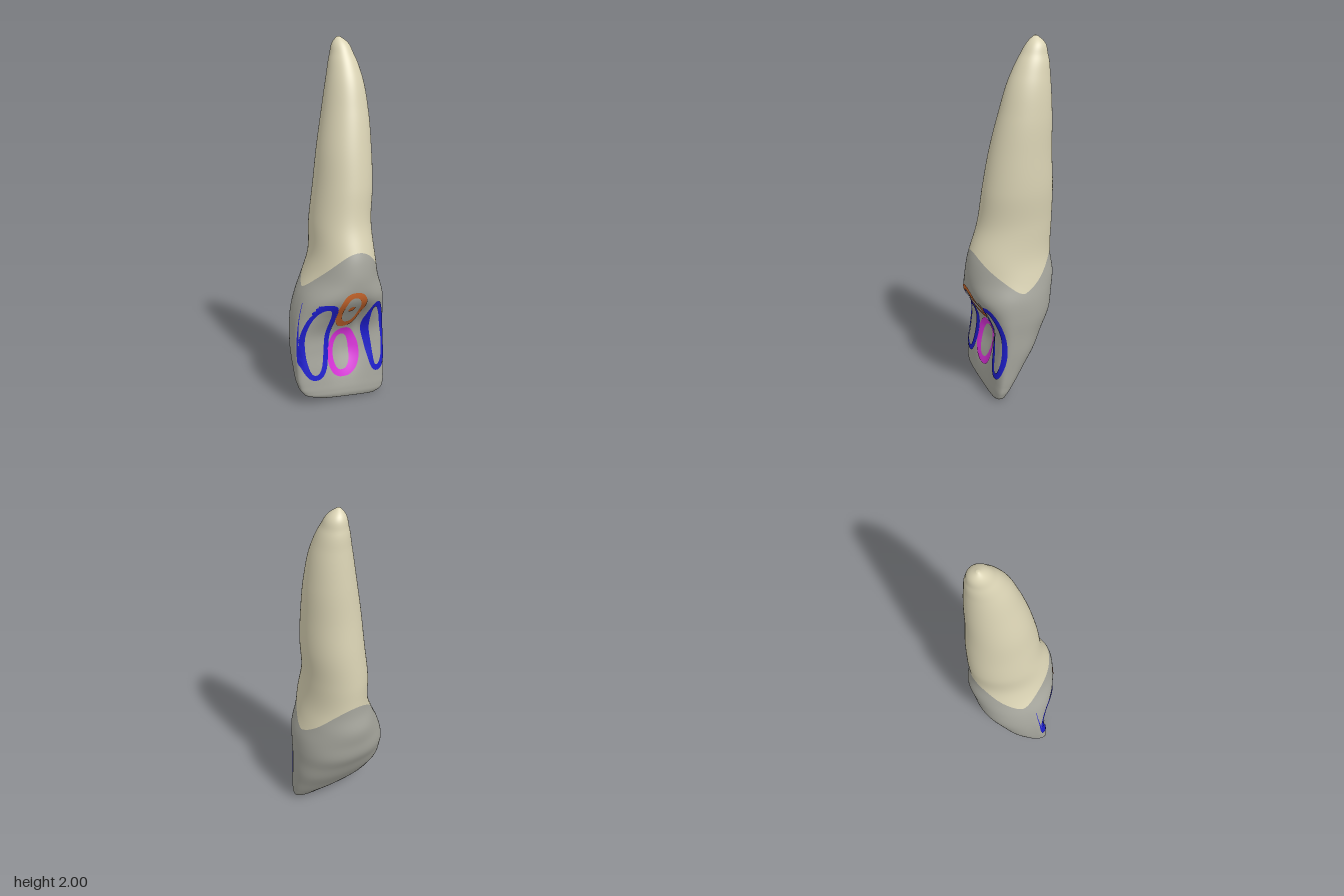
import * as THREE from 'three';

// Tooth axes: u runs along the biting edge, v points to the tongue side
const C = Math.cos(0.488), S = Math.sin(0.488);

// Crown sections: y, centre u, half width, widest v, depth to lip, depth to tongue, squareness
const CROWN = [
  [0, .03, .17, .118, .03, .02, 3],
  [.02, .015, .225, .112, .05, .032, 3.4],
  [.05, .008, .25, .105, .07, .04, 3.6],
  [.1, .003, .263, .09, .1, .052, 3.8],
  [.2, .003, .27, .06, .14, .075, 4],
  [.3, .006, .273, .03, .175, .095, 4],
  [.4, .01, .27, .02, .215, .105, 3.7],
  [.5, .02, .262, 0, .245, .165, 3],
  [.6, .032, .243, -.01, .25, .232, 2.4],
];

// Root sections are plain ellipses: y, centre u, half width, centre v, half depth
const ROOT = [
  [.7, .044, .208, -.018, .254],
  [.8, .052, .181, -.014, .241],
  [1, .058, .167, -.044, .212],
  [1.2, .079, .161, -.053, .197],
  [1.4, .091, .149, -.062, .173],
  [1.6, .106, .128, -.081, .146],
  [1.8, .112, .095, -.105, .108],
  [1.9, .109, .068, -.126, .077],
  [1.985, .1, .027, -.141, .028],
  [2, .095, .008, -.141, .008],
];
const LEVELS = [...CROWN, ...ROOT.map((r) => [...r, r[4], 2])];

function slope(i, k) {
  const d = (j) => (LEVELS[j + 1][k] - LEVELS[j][k]) / (LEVELS[j + 1][0] - LEVELS[j][0]);
  if (i === 0) return d(0);
  if (i === LEVELS.length - 1) return d(i - 1);
  const h0 = LEVELS[i][0] - LEVELS[i - 1][0], h1 = LEVELS[i + 1][0] - LEVELS[i][0];
  return (d(i - 1) * h1 + d(i) * h0) / (h0 + h1);
}

// Smoothly interpolated cross-section at height y
function section(y) {
  let i = 0;
  while (i < LEVELS.length - 2 && y > LEVELS[i + 1][0]) i++;
  const A = LEVELS[i], B = LEVELS[i + 1], h = B[0] - A[0];
  const t = THREE.MathUtils.clamp((y - A[0]) / h, 0, 1), t2 = t * t, t3 = t2 * t;
  const [u0, a, v0, lab, ling, n] = A.slice(1).map((from, m) =>
    (2 * t3 - 3 * t2 + 1) * from + (t3 - 2 * t2 + t) * h * slope(i, m + 1) +
    (3 * t2 - 2 * t3) * B[m + 1] + (t3 - t2) * h * slope(i + 1, m + 1));
  return { u0, a, v0, lab, ling, n };
}

// Hollow on the tongue side, between the marginal ridges, with a groove beside the bulge
const hollow = (u, y) =>
  0.05 * Math.exp(-(((u - 0.02) / 0.1) ** 2) - ((y - 0.31) / 0.15) ** 2) +
  0.022 * Math.exp(-(((u - 0.1) / 0.035) ** 2) - ((y - 0.46) / 0.1) ** 2);

// Tooth axes to model axes, with the biting edge tilted slightly
function place(u, y, v) {
  const lift = 0.08 * (0.2 - u) * Math.max(0, 1 - y / 0.25) ** 2;
  return [u * C - v * S, y + lift, u * S + v * C];
}

function surface(theta, y, scale) {
  const s = section(y), c = Math.cos(theta), q = Math.sin(theta);
  const n = q > 0 ? s.n : 2 + (s.n - 2) * 0.2;
  const u = s.u0 + scale * s.a * Math.sign(c) * Math.abs(c) ** (2 / n);
  const v = s.v0 + scale * (q > 0 ? s.ling : -s.lab) * Math.abs(q) ** (2 / n);
  return place(u, y, q > 0 ? v - hollow(u, y) * scale : v);
}

// Scalloped neck line: high on lip and tongue sides, dipping between the teeth
const neck = (theta) => 0.65 + 0.215 * Math.abs(Math.sin(theta)) ** 1.35;

function makeGeometry(pos, idx) {
  const g = new THREE.BufferGeometry();
  g.setAttribute('position', new THREE.Float32BufferAttribute(pos, 3));
  g.setIndex(idx);
  g.computeVertexNormals();
  return g;
}

// Stacked rings; the ring numbered capRow shrinks to a point
const ROWS = 70;
function loft(heightAt, capRow) {
  const N = 144, pos = [], idx = [];
  for (let j = 0; j <= ROWS; j++) {
    for (let i = 0; i < N; i++) {
      const th = (i / N) * Math.PI * 2;
      pos.push(...surface(th, heightAt(th, j), j === capRow ? 0 : 1));
      if (j === ROWS) continue;
      const a = j * N + i, b = j * N + ((i + 1) % N);
      idx.push(a, a + N, b, b, a + N, b + N);
    }
  }
  return makeGeometry(pos, idx);
}

// Point on the tongue side seen at (x, y) from the front, raised slightly
function onTongueSide(x, y) {
  const s = section(y);
  let u = x, v = 0;
  for (let k = 0; k < 40; k++) {
    u += 0.5 * (x - (u * C - v * S));
    const w = THREE.MathUtils.clamp((u - s.u0) / s.a, -0.985, 0.985);
    u = s.u0 + w * s.a;
    v = s.v0 + s.ling * (1 - Math.abs(w) ** s.n) ** (1 / s.n) - hollow(u, y);
  }
  const p = place(u, y, v);
  return [p[0] - S * 0.005, p[1], p[2] + C * 0.005];
}

// Painted closed band: an oval that can lean and bow sideways
function band({ x, y, rx, ry, lean = 0, bow = 0, width }) {
  const N = 96, W = 4, pos = [], idx = [];
  for (let i = 0; i < N; i++) {
    const th = (i / N) * Math.PI * 2, t = Math.sin(th);
    for (let k = 0; k <= W; k++) {
      const o = (k / W - 0.5) * width;
      pos.push(...onTongueSide(
        x + (rx + o) * Math.sign(Math.cos(th)) * Math.abs(Math.cos(th)) ** 0.85 + lean * t + bow * t * t,
        y + (ry + o) * t));
      if (k === W) continue;
      const a = i * (W + 1) + k, b = ((i + 1) % N) * (W + 1) + k;
      idx.push(a, b, a + 1, b, b + 1, a + 1);
    }
  }
  return makeGeometry(pos, idx);
}

function paint(name, hex) {
  const m = new THREE.MeshStandardMaterial({ color: hex, side: THREE.DoubleSide });
  m.name = name;
  return m;
}

export function createModel() {
  const group = new THREE.Group();
  group.name = 'tooth';
  const enamel = paint('enamel grey', 0xa6a69d);
  const cementum = paint('root ivory', 0xdbd4b5);
  const blue = paint('ridge blue', 0x1f1fd0);
  const magenta = paint('fossa magenta', 0xdc32dc);
  const orange = paint('cingulum orange', 0xcf6a2e);
  const add = (name, geometry, material) => {
    const mesh = new THREE.Mesh(geometry, material);
    mesh.name = name;
    group.add(mesh);
  };

  // Crown and root share one surface, split at the neck line; rings crowd towards the ends
  const ease = (j) => (Math.max(0, j - 1) / (ROWS - 1)) ** 1.5;
  add('crown', loft((th, j) => neck(th) * ease(j), 0), enamel);
  add('root', loft((th, j) => 2 - (2 - neck(th)) * ease(ROWS - j), ROWS), cementum);

  // Painted outlines on the tongue side
  add('rightRidgeOutline', band({ x: -.2, y: .362, rx: .063, ry: .21, lean: .013, width: .032 }), blue);
  add('leftRidgeOutline',
    band({ x: .131, y: .352, rx: .052, ry: .198, lean: -.022, bow: -.03, width: .034 }), blue);
  add('fossaOutline', band({ x: -.046, y: .272, rx: .07, ry: .12, lean: .012, width: .04 }), magenta);
  add('cingulumOutline', band({ x: -.065, y: .54, rx: .06, ry: .097, lean: -.02, width: .032 }), orange);
  add('cingulumDot', band({ x: -.073, y: .55, rx: .008, ry: .008, width: .015 }), orange);
  return group;
}
